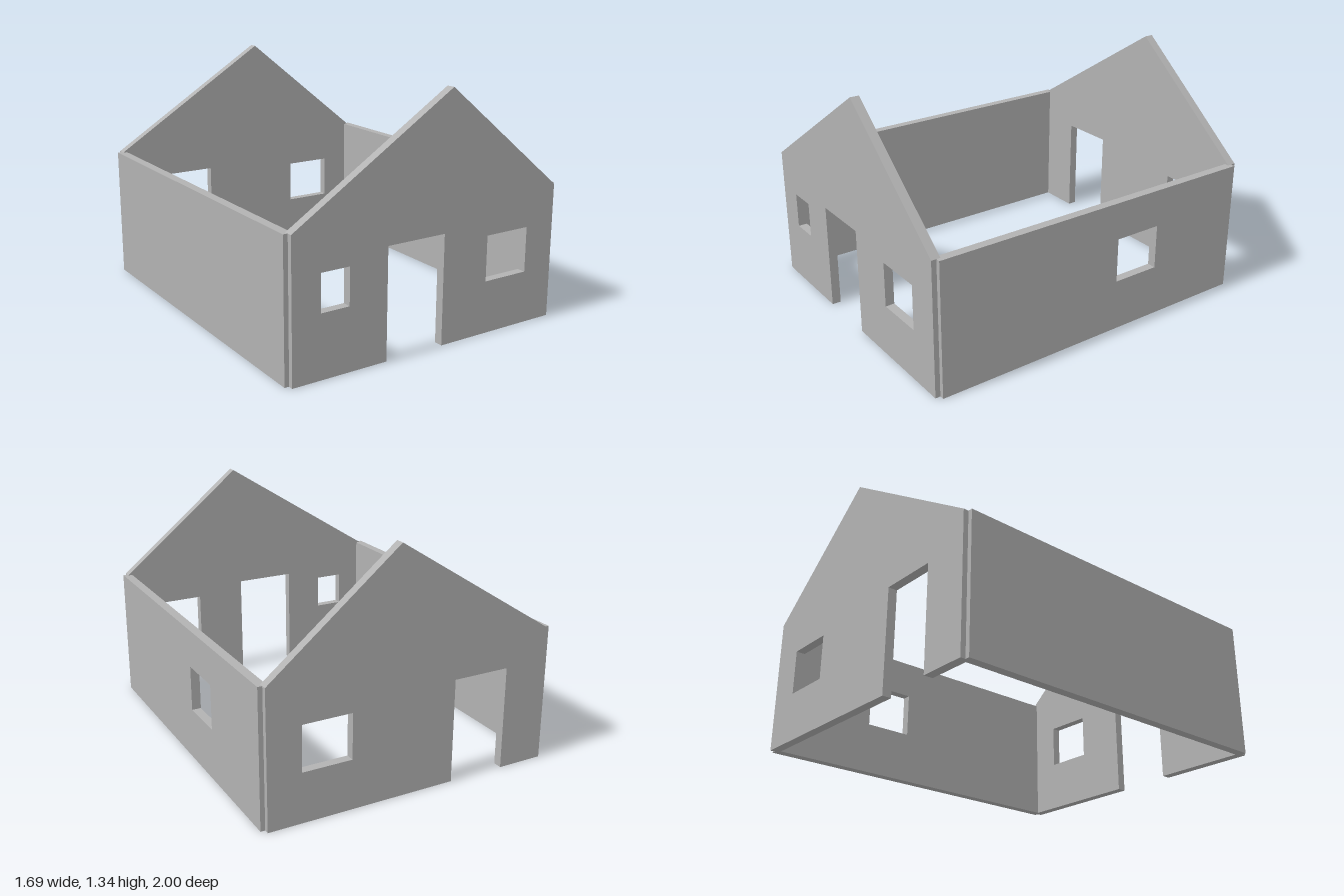
import * as THREE from 'three';

const T = 0.05; // wall thickness

// Flat wall from an outline, with rectangular window openings [x0, y0, x1, y1]
function makeWall(name, outline, windows, material) {
  const toPoints = (list) => list.map(([x, y]) => new THREE.Vector2(x, y));
  const shape = new THREE.Shape(toPoints(outline));
  for (const [x0, y0, x1, y1] of windows) {
    shape.holes.push(new THREE.Path(toPoints([[x0, y0], [x0, y1], [x1, y1], [x1, y0]])));
  }
  const geometry = new THREE.ExtrudeGeometry(shape, { depth: T, bevelEnabled: false });
  const mesh = new THREE.Mesh(geometry, material);
  mesh.name = name;
  return mesh;
}

// Gable outline with an off-centre ridge and a doorway cut up from the ground
function gableOutline(doorLeft, doorRight, doorTop) {
  return [
    [-0.822, 0], [doorLeft, 0], [doorLeft, doorTop], [doorRight, doorTop], [doorRight, 0],
    [0.822, 0], [0.822, 0.75], [0.103, 1.335], [-0.822, 0.75],
  ];
}

export function createModel() {
  const house = new THREE.Group();
  house.name = 'houseWalls';
  const plaster = new THREE.MeshStandardMaterial({ color: 0xb2b2b2 });
  plaster.name = 'grey plaster';

  // Front gable: doorway, small window and large window
  const front = makeWall('frontGableWall', gableOutline(-0.277, 0.073, 0.6),
    [[-0.663, 0.34, -0.5, 0.54], [0.36, 0.29, 0.636, 0.54]], plaster);
  front.position.z = 1 - T;

  // Back gable: doorway and one window
  const back = makeWall('backGableWall', gableOutline(-0.56, -0.237, 0.575),
    [[0.36, 0.275, 0.636, 0.525]], plaster);
  back.position.z = -1;

  // Side walls, turned so the outline's x runs towards -z
  const sideOutline = [[-0.972, 0], [0.972, 0], [0.972, 0.75], [-0.972, 0.75]];
  const right = makeWall('rightSideWall', sideOutline, [], plaster);
  right.position.x = -0.847;
  const left = makeWall('leftSideWall', sideOutline, [[0.123, 0.29, 0.398, 0.54]], plaster);
  left.position.x = 0.847 - T;
  for (const side of [left, right]) side.rotation.y = Math.PI / 2;

  house.add(front, back, left, right);
  return house;
}
